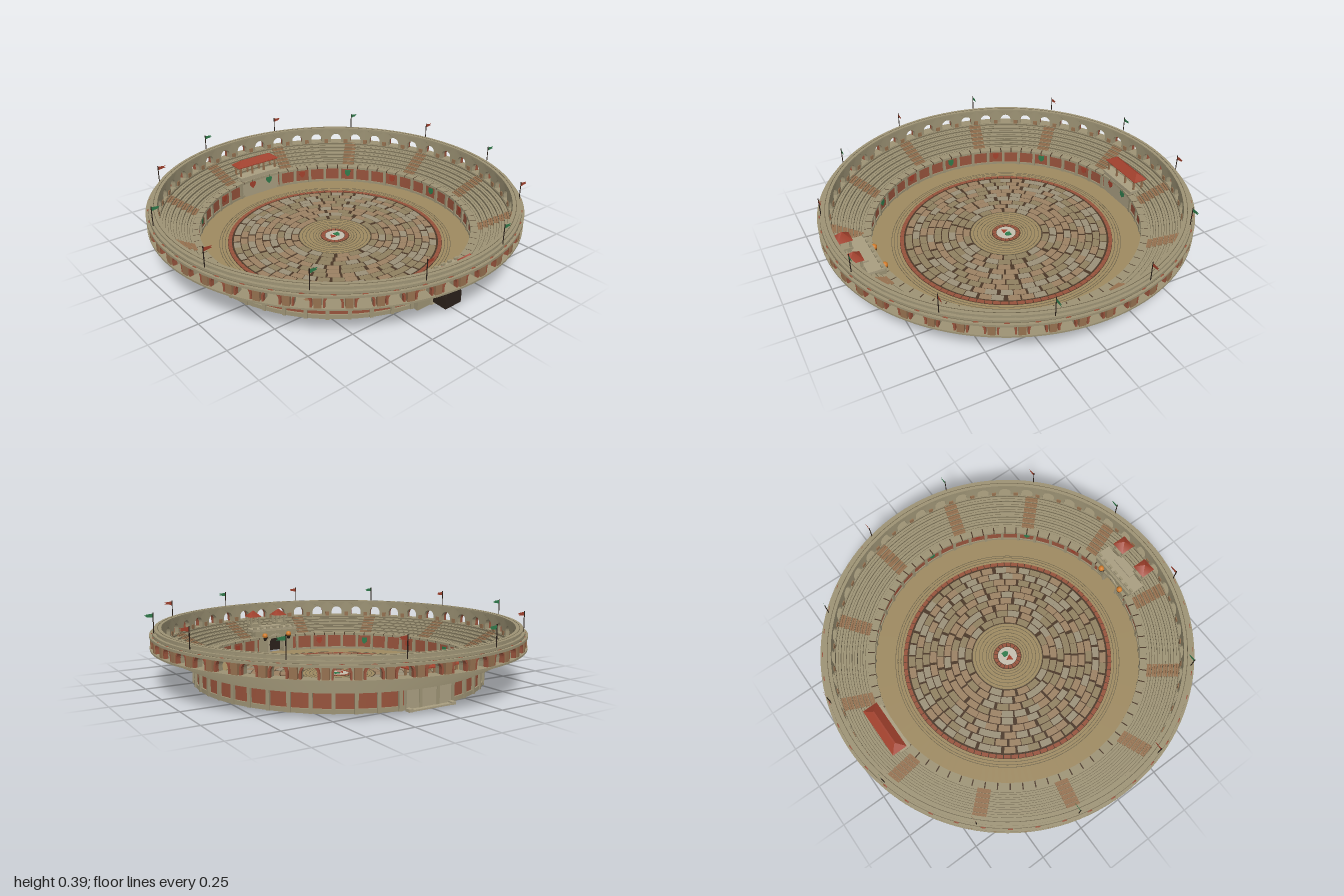
import * as THREE from 'three';
import { mergeGeometries, toCreasedNormals } from 'three/addons/utils/BufferGeometryUtils.js';

const TAU = Math.PI * 2;
const COLORS = {
  stone: 0x9c9274, paleStone: 0xa89d80, sand: 0x9d8960, mortar: 0x4a3727, dark: 0x2a2019,
  brick: 0x96523b, red: 0xa0402c, green: 0x2f7a4a, stair: 0x94704f, line: 0x6b6149,
  cobbleA: 0x9a9078, cobbleB: 0x8f8060, cobbleC: 0x9b8163, white: 0xc4beae, fire: 0xd07a28,
};
const mats = {};
const material = (c) => (mats[c] ??= new THREE.MeshStandardMaterial({ color: COLORS[c], side: THREE.DoubleSide }));

// Wraps a flat piece round the arena: x is the angle, z the radius
function bend(geo) {
  const p = geo.attributes.position;
  for (let i = 0; i < p.count; i++) {
    const a = p.getX(i), r = p.getZ(i);
    p.setXYZ(i, r * Math.sin(a), p.getY(i), r * Math.cos(a));
  }
  geo.computeVertexNormals();
  return geo;
}
function sector(r0, r1, a0, a1, y0, y1, n = 1) {
  const g = new THREE.BoxGeometry(a1 - a0, y1 - y0, r1 - r0, n, 1, 1);
  return bend(g.translate((a0 + a1) / 2, (y0 + y1) / 2, (r0 + r1) / 2));
}
function ring(r0, r1, y0, y1, seg = 120) {
  const pts = [[r0, y0], [r1, y0], [r1, y1], [r0, y1], [r0, y0]].map(([r, y]) => new THREE.Vector2(r, y));
  return toCreasedNormals(new THREE.LatheGeometry(pts, seg), 0.6);
}
const box = (w, h, d, x, y, z) => new THREE.BoxGeometry(w, h, d).translate(x, y, z);
const disc = (r, y0, y1) => new THREE.CylinderGeometry(r, r, y1 - y0, 64).translate(0, (y0 + y1) / 2, 0);

// Traces an arch outline onto a shape or path
function arch(path, half, y0, spring, sx = 1) {
  path.moveTo(-half * sx, y0);
  path.lineTo(half * sx, y0);
  for (let i = 0; i <= 12; i++) {
    const t = Math.PI * i / 12;
    path.lineTo(Math.cos(t) * half * sx, spring + Math.sin(t) * half);
  }
  path.closePath();
  return path;
}
function rect(x0, x1, y0, y1) {
  return new THREE.Shape([[x0, y0], [x1, y0], [x1, y1], [x0, y1]].map(([x, y]) => new THREE.Vector2(x, y)));
}
const extrude = (shape, depth, z) =>
  new THREE.ExtrudeGeometry(shape, { depth, bevelEnabled: false, curveSegments: 10 }).translate(0, 0, z);
function shield(s) {
  const h = new THREE.Shape();
  h.moveTo(-s, s); h.lineTo(s, s); h.lineTo(s, 0);
  h.quadraticCurveTo(s, -s * 0.8, 0, -s * 1.4);
  h.quadraticCurveTo(-s, -s * 0.8, -s, 0);
  return extrude(h, 0.005, 0);
}

export function createModel() {
  const model = new THREE.Group();
  function add(name, color, geos) {
    const list = [].concat(geos).map((g) => (g.index ? g.toNonIndexed() : g));
    const mesh = new THREE.Mesh(list.length > 1 ? mergeGeometries(list) : list[0], material(color));
    mesh.name = name;
    model.add(mesh);
  }
  let seed = 7;
  const rand = () => (seed = (seed * 16807) % 2147483647) / 2147483647;

  // Arena floor
  add('sandRing', 'sand', ring(0.565, 0.775, 0, 0.009));
  add('pavingBed', 'mortar', disc(0.592, 0.0005, 0.0105));
  add('floorGrooves', 'line', [0.605, 0.622, 0.635].map((r) => ring(r, r + 0.003, 0.008, 0.0098)));
  const tiles = [];
  for (let i = 0; i < 90; i++) tiles.push(sector(0.57, 0.59, i * TAU / 90, (i + 0.9) * TAU / 90, 0.005, 0.014));
  add('brickBorder', 'brick', tiles);

  // Cobbled rings
  const cobbles = { cobbleA: [], cobbleB: [], cobbleC: [] };
  for (let k = 0; k < 9; k++) {
    const r = 0.205 + k * 0.04, n = Math.round(TAU * r / 0.068), off = rand() * TAU;
    for (let i = 0; i < n; i++) {
      const a = off + (i + rand() * 0.2) * TAU / n, c = ['cobbleA', 'cobbleB', 'cobbleC'][Math.floor(rand() * 3)];
      cobbles[c].push(sector(r, r + 0.035, a, a + 0.87 * TAU / n, 0.005, 0.0125 + rand() * 0.002, 2));
    }
  }
  for (const c in cobbles) add('cobbles', c, cobbles[c]);

  // Centre circles and medallion
  add('centreSand', 'sand', disc(0.2, 0, 0.0125));
  add('centreGrooves', 'line', [0.09, 0.105, 0.12, 0.14, 0.16, 0.18, 0.197].map((r) => ring(r, r + 0.003, 0.01, 0.0133, 64)));
  add('medallionBed', 'mortar', disc(0.08, 0.01, 0.0135));
  add('medallionDisc', 'white', disc(0.054, 0.01, 0.0145));
  const rim = [];
  for (let i = 0; i < 18; i++) rim.push(sector(0.057, 0.077, i * TAU / 18, (i + 0.85) * TAU / 18, 0.01, 0.015));
  add('medallionRim', 'brick', rim);
  add('medallionTriangle', 'red', new THREE.CylinderGeometry(0.022, 0.022, 0.004, 3).rotateY(Math.PI).translate(-0.017, 0.0145, 0.003));
  add('medallionShield', 'green', shield(0.015).rotateX(-Math.PI / 2).translate(0.017, 0.0125, -0.004));

  // Podium wall, open at the gate
  add('podiumWall', 'brick', sector(0.755, 0.775, 0.08, TAU - 0.08, 0.001, 0.103, 120));
  add('podiumBase', 'stone', sector(0.749, 0.783, 0.08, TAU - 0.08, 0, 0.022, 120));
  const pilasters = [], shields = { red: [], green: [] };
  for (let i = 0; i < 48; i++) {
    const a = (i + 0.5) * TAU / 48, m = i * TAU / 48;
    if (i > 0 && i < 47) pilasters.push(sector(0.744, 0.789, a - 0.011, a + 0.011, 0, 0.102));
    if (i % 3 === 0 && i && i !== 24) {
      shields[i % 2 ? 'red' : 'green'].push(shield(0.017).rotateY(Math.PI).translate(0, 0.067, 0.755).rotateY(m));
    }
  }
  add('podiumPilasters', 'stone', pilasters);
  for (const c in shields) add('wallShields', c, shields[c]);
  const caps = [];
  for (let i = 0; i < 72; i++) caps.push(sector(0.737, 0.785, (i + 0.05) * TAU / 72, (i + 0.95) * TAU / 72, 0.1, 0.114, 2));
  add('podiumCapStones', 'stone', caps);
  add('podiumCapJoints', 'mortar', ring(0.74, 0.782, 0.101, 0.112));

  // Seating tiers with a dark line under each nosing, and twelve stairways
  const tiers = [], noses = [], steps = [];
  for (let i = 0; i < 7; i++) {
    const r = 0.775 + i * 0.027, y = 0.1 + i * 0.014;
    tiers.push(ring(r, r + 0.031, y, y + 0.016));
    noses.push(ring(r - 0.002, r + 0.002, y + 0.009, y + 0.012), ring(r + 0.012, r + 0.014, y + 0.014, y + 0.0166));
    for (let s = 0; s < 12; s++) {
      const a = (s + 0.5) * TAU / 12, h = 0.036 / r;
      steps.push(sector(r - 0.012, r + 0.004, a - h, a + h, y - 0.003, y + 0.01), sector(r + 0.002, r + 0.014, a - h, a + h, y - 0.002, y + 0.0185));
    }
  }
  add('seatingTiers', 'stone', tiers);
  add('seatLines', 'line', noses);
  add('stairways', 'stair', steps);

  // Arcade: 46 arched bays with brick arch rings and piers outside
  const N = 46, bays = [], archRings = [], piers = [], half = 0.034, spring = 0.227, sx = 1 / 0.965;
  for (let i = 0; i < N; i++) {
    const a = i * TAU / N, w = Math.PI / N;
    const wall = rect(-w, w, 0.196, 0.298);
    wall.holes.push(arch(new THREE.Path(), half, 0.199, spring, sx));
    bays.push(bend(extrude(wall, 0.027, 0.943)).rotateY(a));
    const hood = arch(new THREE.Shape(), half + 0.009, 0.2, spring, sx);
    hood.holes.push(arch(new THREE.Path(), half, 0.2005, spring, sx));
    archRings.push(bend(extrude(hood, 0.022, 0.969)).rotateY(a));
    piers.push(sector(0.965, 0.996, a + w - 0.017, a + w + 0.017, 0.2, 0.258));
    piers.push(sector(0.938, 0.945, a + w - 0.013, a + w + 0.013, 0.2, 0.225));
  }
  add('arcadeWall', 'stone', bays);
  add('arcadeArchRings', 'brick', archRings);
  add('arcadePiers', 'stair', piers);
  add('arcadeLedges', 'stone', [ring(0.94, 1, 0.194, 0.203), ring(0.968, 1, 0.256, 0.268), ring(0.966, 0.984, 0.268, 0.281), ring(0.938, 0.975, 0.291, 0.3)]);
  add('arcadeLines', 'line', [ring(0.955, 0.958, 0.298, 0.3008), ring(0.983, 0.986, 0.266, 0.2688)]);

  // Twelve pennants, all blown towards +x
  const poles = [], flags = { red: [], green: [] };
  for (let i = 0; i < 12; i++) {
    const a = (i + 0.5) * TAU / 12, x = 0.977 * Math.sin(a), z = 0.977 * Math.cos(a);
    poles.push(new THREE.CylinderGeometry(0.0025, 0.0025, 0.12, 6).translate(x, 0.327, z));
    const f = new THREE.Shape([[0, 0.362], [0.046, 0.368], [0.034, 0.372], [0.046, 0.378], [0, 0.383]].map(([u, v]) => new THREE.Vector2(u, v)));
    flags[i % 2 ? 'red' : 'green'].push(new THREE.ShapeGeometry(f).translate(x, 0, z));
  }
  add('flagPoles', 'dark', poles);
  for (const c in flags) add('pennants', c, flags[c]);

  // Gatehouse with tunnel, terrace, two pavilions and two braziers
  const gate = rect(-0.145, 0.145, 0, 0.148);
  gate.holes.push(arch(new THREE.Path(), 0.05, 0.001, 0.065));
  add('gateFront', 'stone', extrude(gate, 0.055, 0.745));
  const surround = arch(new THREE.Shape(), 0.062, 0, 0.065);
  surround.holes.push(arch(new THREE.Path(), 0.05, 0.001, 0.065));
  add('gateArchRing', 'paleStone', [extrude(surround, 0.07, 0.738)]);
  add('gateTunnel', 'dark', extrude(arch(new THREE.Shape(), 0.052, 0.015, 0.065), 0.1, 0.79));
  add('gateTerrace', 'paleStone', [box(0.31, 0.014, 0.085, 0, 0.153, 0.8), box(0.14, 0.012, 0.05, 0, 0.163, 0.835)]);
  const posts = [], roofs = [], bowls = [], flames = [], merlons = [];
  for (let i = -3; i <= 3; i++) merlons.push(box(0.022, 0.014, 0.012, i * 0.046, 0.165, 0.766));
  for (const s of [-1, 1]) {
    const x = s * 0.09;
    posts.push(box(0.076, 0.022, 0.076, x, 0.171, 0.886));
    for (const u of [-1, 1]) for (const v of [-1, 1]) posts.push(box(0.012, 0.06, 0.012, x + u * 0.028, 0.2, 0.886 + v * 0.028));
    roofs.push(new THREE.ConeGeometry(0.058, 0.04, 4).rotateY(Math.PI / 4).translate(x, 0.245, 0.886));
    bowls.push(new THREE.CylinderGeometry(0.016, 0.007, 0.02, 10).translate(s * 0.083, 0.1, 0.735));
    flames.push(new THREE.SphereGeometry(0.017, 12, 8).translate(s * 0.083, 0.12, 0.735));
  }
  add('gateMerlons', 'stone', merlons);
  add('pavilionPosts', 'stone', posts);
  add('pavilionRoofs', 'red', roofs);
  add('brazierBowls', 'dark', bowls);
  add('brazierFlames', 'fire', flames);

  // Box of honour at the back, under a hipped roof
  add('honourBox', 'paleStone', [box(0.26, 0.132, 0.045, 0, 0.066, -0.762), box(0.28, 0.012, 0.06, 0, 0.135, -0.765),
    box(0.26, 0.008, 0.03, 0, 0.004, -0.795), box(0.022, 0.015, 0.03, -0.125, 0.0075, -0.798), box(0.022, 0.015, 0.03, 0.125, 0.0075, -0.798)]);
  const honourPosts = [];
  for (const x of [-0.125, -0.042, 0.042, 0.125]) for (const z of [-0.765, -0.822]) honourPosts.push(box(0.01, 0.07, 0.01, x, 0.168, z));
  add('honourPosts', 'stair', honourPosts);
  const roof = new THREE.BoxGeometry(0.29, 0.028, 0.085);
  const rp = roof.attributes.position;
  for (let i = 0; i < rp.count; i++) if (rp.getY(i) > 0) rp.setXYZ(i, rp.getX(i) * 0.72, rp.getY(i), rp.getZ(i) * 0.1);
  roof.computeVertexNormals();
  add('honourRoof', 'red', [roof.translate(0, 0.216, -0.795), box(0.284, 0.008, 0.08, 0, 0.2, -0.795)]);
  add('honourShieldRed', 'red', shield(0.02).translate(-0.06, 0.085, -0.741));
  add('honourShieldGreen', 'green', shield(0.02).translate(0.06, 0.085, -0.741));

  return model;
}
